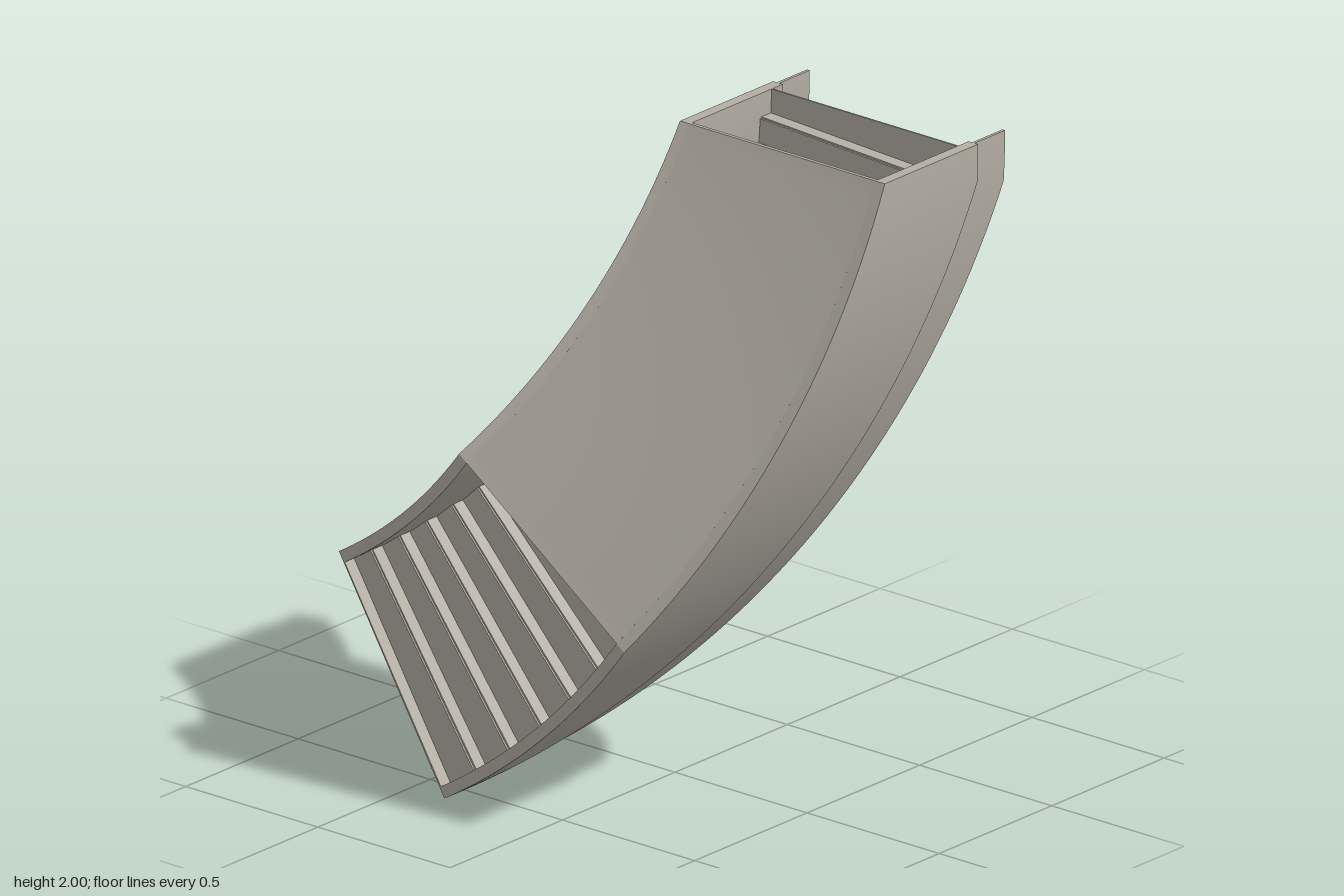
import * as THREE from 'three';
import { toCreasedNormals } from 'three/addons/utils/BufferGeometryUtils.js';

// Curved stair: rises towards -z while turning about an axis parallel to z.
const CX = -1.57, CY = 2, SWEEP = 59;
const R_IN = 1.555, R_OUT = 2.33, STRINGER = 0.036, FIN = 0.01;
const SLOPE = 0.0173, FLOOR = 0.59;
const STEPS = 21, RISE = 1 / STEPS, TURN = SWEEP / STEPS;

const point = (r, deg, z) => {
  const a = THREE.MathUtils.degToRad(deg);
  return [CX + r * Math.cos(a), CY - r * Math.sin(a), z];
};

// Rectangular section swept round the axis; low and high give z for an angle.
function sweep(r0, r1, low, high, angles) {
  const pos = [];
  const quad = (a, b, c, d) => pos.push(...a, ...b, ...c, ...a, ...c, ...d);
  const rings = angles.map((t) => [
    point(r0, t, low(t)), point(r1, t, low(t)),
    point(r1, t, high(t)), point(r0, t, high(t)),
  ]);
  for (let i = 0; i < rings.length - 1; i++) {
    const p = rings[i], q = rings[i + 1];
    for (let j = 0; j < 4; j++) {
      const k = (j + 1) % 4;
      quad(p[j], q[j], q[k], p[k]);
    }
  }
  const e = rings[rings.length - 1];
  quad(...rings[0]);
  quad(e[3], e[2], e[1], e[0]);
  const g = new THREE.BufferGeometry();
  g.setAttribute('position', new THREE.Float32BufferAttribute(pos, 3));
  return toCreasedNormals(g, 0.4);
}

// Evenly spaced angles plus exact break points
function angleList(from, to, count, breaks = []) {
  const list = [...breaks];
  for (let i = 0; i <= count; i++) list.push(from + (to - from) * i / count);
  return [...new Set(list)].sort((a, b) => a - b);
}

export function createModel() {
  const group = new THREE.Group();
  const stone = new THREE.MeshStandardMaterial({ color: 0xb4afa4 });
  stone.name = 'warm grey';
  const add = (name, geometry) => {
    const mesh = new THREE.Mesh(geometry, stone);
    mesh.name = name;
    group.add(mesh);
  };

  const soffitEnd = (FLOOR + 0.04) / 0.0174;
  const soffitZ = (t) => Math.min(FLOOR, -0.04 + 0.0174 * t);
  const stringerTop = (t) => -0.455 + SLOPE * Math.max(0, t - 2.9);
  const finTop = (t) => -0.59 + SLOPE * Math.max(0, t - 3.9);
  const full = angleList(0, SWEEP, 48, [2.9, 3.9, soffitEnd]);

  // Side stringers, each with a thin upstand along its top
  for (const [side, r] of [['inner', R_IN], ['outer', R_OUT - STRINGER]]) {
    add(side + 'Stringer', sweep(r, r + STRINGER, soffitZ, stringerTop, full));
    const f = r + (STRINGER - FIN) / 2;
    add(side + 'Upstand', sweep(f, f + FIN, (t) => stringerTop(t) + 0.002, finTop, full));
  }

  // Soffit panel closing the underside down to the floor
  const a = R_IN + STRINGER, b = R_OUT - STRINGER;
  add('soffit', sweep(a, b, soffitZ, (t) => soffitZ(t) - 0.012, angleList(0, soffitEnd, 32)));

  // Thin treads and risers, hollow behind
  for (let i = 0; i < STEPS; i++) {
    const z = -0.41 + i * RISE, t0 = i * TURN, t1 = t0 + TURN;
    add('tread', sweep(a, b, () => z + 0.006, () => z, angleList(t0, t1, 2)));
    add('riser', sweep(a, b, () => z + RISE, () => z + 0.006, [t1 - 0.15, t1]));
  }
  return group;
}
